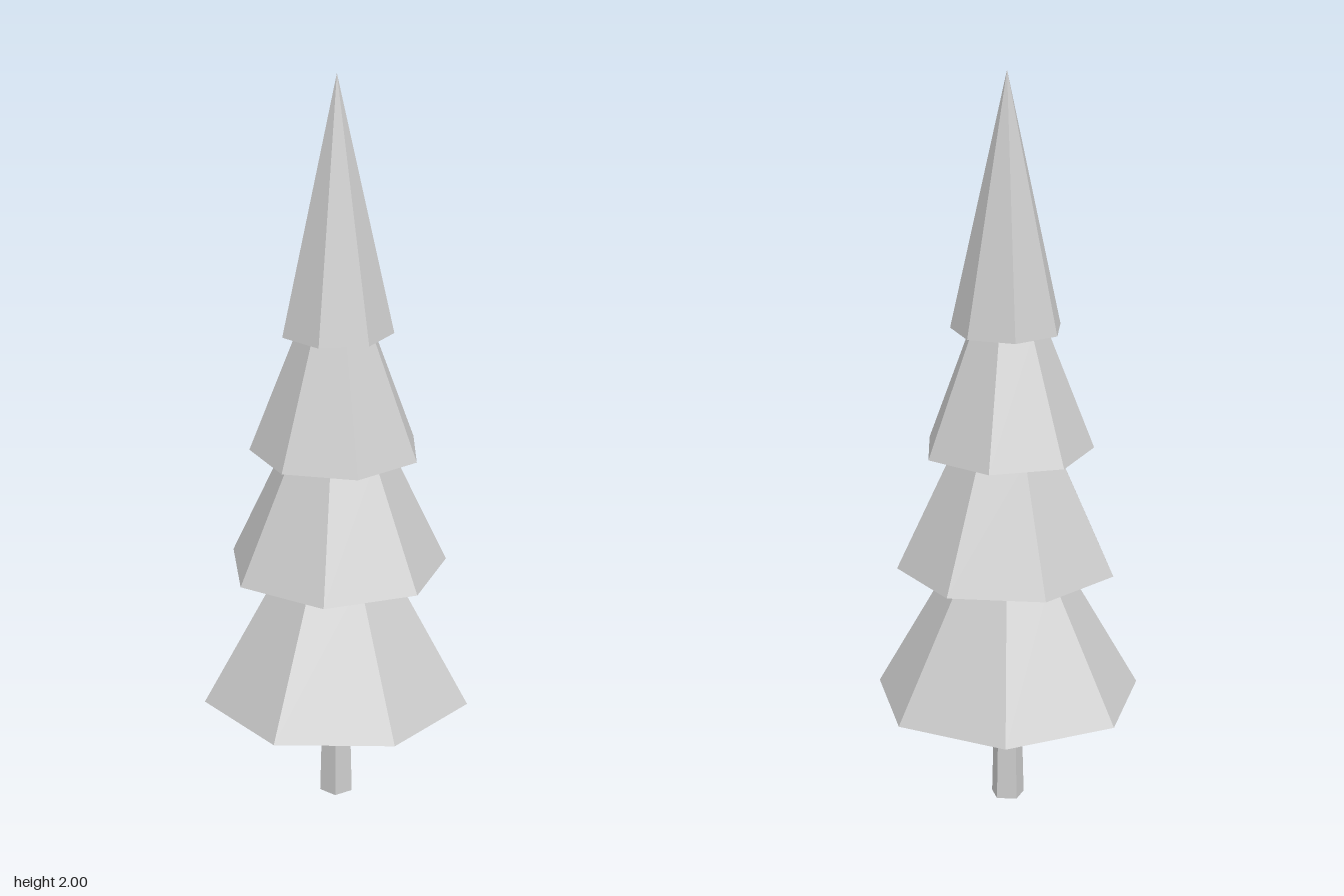
import * as THREE from 'three';

export function createModel() {
  const tree = new THREE.Group();
  tree.name = 'pineTree';
  const grey = new THREE.MeshStandardMaterial({ color: 0xcccccc });
  grey.name = 'plain grey';

  // Faceted tapered prism from y0 to y1; angle (degrees, x towards z) places its first corner
  function addTaper(name, sides, rBottom, rTop, y0, y1, angle) {
    const geo = new THREE.CylinderGeometry(
      rTop, rBottom, y1 - y0, sides, 1, false,
      THREE.MathUtils.degToRad(90 - angle)
    ).toNonIndexed();
    geo.computeVertexNormals(); // flat facets
    const mesh = new THREE.Mesh(geo, grey);
    mesh.name = name;
    mesh.position.set(0.015, (y0 + y1) / 2, 0);
    tree.add(mesh);
  }

  // Five-sided trunk
  addTaper('trunk', 5, 0.046, 0.038, 0, 0.302, -90);

  // Seven-sided foliage tiers, each twisted against the one below
  addTaper('lowestTier', 7, 0.363, 0.15, 0.302, 0.68, 180);
  addTaper('lowerMiddleTier', 7, 0.296, 0.142, 0.677, 1.005, 5.4);
  addTaper('upperMiddleTier', 7, 0.229, 0.103, 1.003, 1.33, -14.6);
  addTaper('topTier', 7, 0.149, 0, 1.328, 2, 16.9);

  return tree;
}
